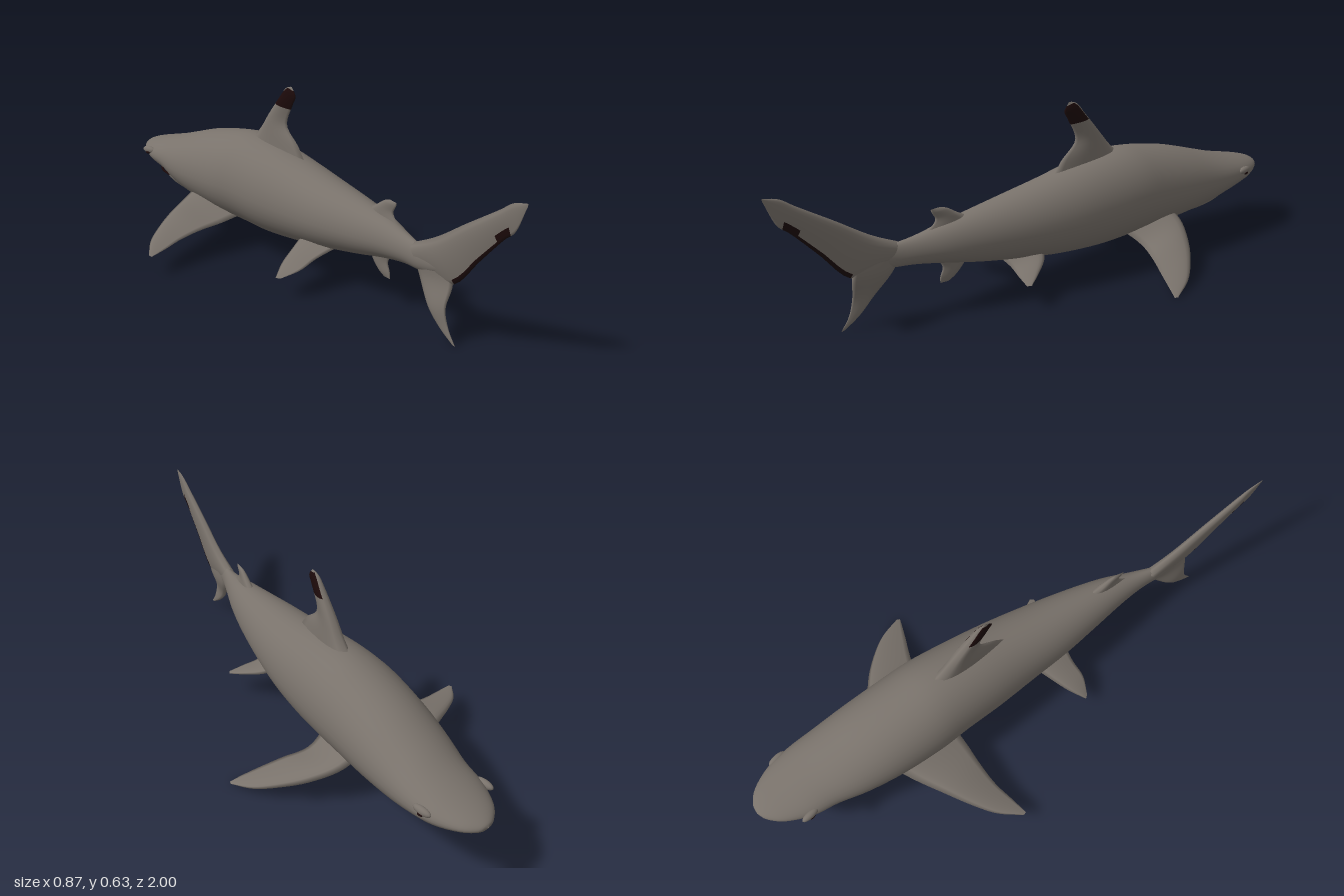
import * as THREE from 'three';

const skin = new THREE.MeshStandardMaterial({ color: 0x79726b, side: THREE.DoubleSide });
skin.name = 'greySkin';
const dark = new THREE.MeshStandardMaterial({ color: 0x1c0a0a, side: THREE.DoubleSide });
dark.name = 'darkMarking';

const V = (x, y, z) => new THREE.Vector3(x, y, z);

// Smooth skin over closed rings of points; quads picked by isDark get the dark material
function loft(name, rings, flip = false, isDark = () => false) {
  const n = rings[0].length;
  const plain = [], marked = [];
  for (let i = 0; i < rings.length - 1; i++) {
    for (let j = 0; j < n; j++) {
      const a = i * n + j, b = i * n + (j + 1) % n, c = b + n, d = a + n;
      const list = isDark((i + 0.5) / (rings.length - 1), j) ? marked : plain;
      list.push(...(flip ? [a, c, b, a, d, c] : [a, b, c, a, c, d]));
    }
  }
  const geo = new THREE.BufferGeometry().setFromPoints(rings.flat());
  geo.setIndex([...plain, ...marked]);
  geo.addGroup(0, plain.length, 0);
  if (marked.length) geo.addGroup(plain.length, marked.length, 1);
  geo.computeVertexNormals();
  const mesh = new THREE.Mesh(geo, [skin, dark]);
  mesh.name = name;
  return mesh;
}

// Fin from [lead, trail] sections, root to tip, with a lens-like profile.
// mark(v, u, upper): v runs root to tip, u runs leading to trailing edge
function fin(name, sections, normal, thick, mark = () => false) {
  const half = 10, steps = 24;
  const lead = new THREE.CatmullRomCurve3(sections.map((s) => V(...s[0])));
  const trail = new THREE.CatmullRomCurve3(sections.map((s) => V(...s[1])));
  const nrm = V(...normal).normalize();
  const rings = [];
  for (let i = 0; i <= steps; i++) {
    const v = i / steps, a = lead.getPoint(v), b = trail.getPoint(v), ring = [];
    for (let j = 0; j < 2 * half; j++) {
      const u = (j <= half ? j : 2 * half - j) / half;
      const t = thick * (1 - v) ** 0.8 * 2.6 * Math.sqrt(u) * (1 - u);
      ring.push(a.clone().lerp(b, u).addScaledVector(nrm, j <= half ? t : -t));
    }
    rings.push(ring);
  }
  const chord = rings[0][half].clone().sub(rings[0][0]);
  const span = rings[steps][0].clone().sub(rings[0][0]);
  const flip = chord.cross(span).dot(nrm) < 0;
  return loft(name, rings, flip, (v, j) =>
    mark(v, (j < half ? j + 0.5 : 2 * half - j - 0.5) / half, j < half));
}

// Body stations: z, centre x, half width, top y, bottom y
const stations = [
  [-1.0, 0.17, 0.002, 0.247, 0.243], [-0.99, 0.169, 0.035, 0.258, 0.23],
  [-0.95, 0.163, 0.078, 0.272, 0.217], [-0.87, 0.152, 0.116, 0.292, 0.19],
  [-0.78, 0.14, 0.131, 0.315, 0.165], [-0.68, 0.115, 0.146, 0.346, 0.135],
  [-0.55, 0.087, 0.157, 0.385, 0.112], [-0.4, 0.06, 0.16, 0.415, 0.1],
  [-0.29, 0.045, 0.156, 0.425, 0.095], [-0.15, 0.02, 0.147, 0.41, 0.09],
  [0, -0.007, 0.132, 0.382, 0.1], [0.15, -0.04, 0.113, 0.355, 0.12],
  [0.3, -0.073, 0.086, 0.33, 0.145], [0.42, -0.103, 0.06, 0.308, 0.17],
  [0.52, -0.136, 0.035, 0.283, 0.187], [0.6, -0.166, 0.02, 0.27, 0.192],
  [0.68, -0.186, 0.01, 0.26, 0.21], [0.75, -0.203, 0.002, 0.25, 0.24],
];

function makeBody() {
  const plan = new THREE.CatmullRomCurve3(stations.map((s) => V(s[0], s[1], s[2])), false, 'catmullrom', 0.5);
  const side = new THREE.CatmullRomCurve3(stations.map((s) => V(s[0], s[3], s[4])), false, 'catmullrom', 0.5);
  const rings = [];
  for (let i = 0; i <= 68; i++) {
    const p = plan.getPoint(i / 68), q = side.getPoint(i / 68), ring = [];
    const mid = q.z + (q.y - q.z) * 0.46;
    for (let j = 0; j < 36; j++) {
      const t = (j / 36) * Math.PI * 2, s = Math.sin(t);
      ring.push(V(p.y + p.z * Math.cos(t), mid + s * (s > 0 ? q.y - mid : mid - q.z), p.x));
    }
    rings.push(ring);
  }
  return loft('body', rings);
}

const tailX = (z) => -0.163 - 0.21 * (z - 0.585);
const tail = (z, y) => [tailX(z) - (y < 0.12 ? 0.02 : 0), y, z];
const along = (z, y) => [0.045 - 0.18 * (z + 0.29), y, z]; // on the front dorsal line
const rear = (z, y) => [-0.103 - 0.26 * (z - 0.42), y, z]; // on the rear body line

export function createModel() {
  const shark = new THREE.Group();
  shark.name = 'shark';
  shark.add(makeBody());

  // Lower jaw and the dark mouth line above it
  const head = new THREE.Group();
  head.name = 'head';
  head.position.set(0.115, 0, -0.67);
  head.rotation.y = -0.17;
  const jaw = new THREE.Mesh(new THREE.SphereGeometry(1, 28, 18), skin);
  jaw.name = 'lowerJaw';
  jaw.scale.set(0.1, 0.045, 0.19);
  jaw.position.y = 0.167;
  jaw.rotation.x = 0.1;
  const lip = new THREE.CatmullRomCurve3([V(-0.108, 0.183, -0.05), V(-0.092, 0.184, -0.12),
    V(-0.055, 0.187, -0.175), V(0, 0.188, -0.195), V(0.055, 0.187, -0.175),
    V(0.092, 0.184, -0.12), V(0.108, 0.183, -0.05)]);
  const mouth = new THREE.Mesh(new THREE.TubeGeometry(lip, 30, 0.004, 6), dark);
  mouth.name = 'mouthLine';
  head.add(jaw, mouth);
  shark.add(head);

  // Eyes under low brows
  for (const [x, z, s] of [[0.269, -0.83, 1], [0.037, -0.875, -1]]) {
    const brow = new THREE.Mesh(new THREE.SphereGeometry(1, 16, 10), skin);
    brow.name = 'brow';
    brow.scale.set(0.013, 0.014, 0.035);
    brow.position.set(x - s * 0.004, 0.252, z);
    const eye = new THREE.Mesh(new THREE.SphereGeometry(1, 14, 10), dark);
    eye.name = 'eye';
    eye.scale.set(0.005, 0.006, 0.011);
    eye.position.set(x + s * 0.005, 0.243, z);
    shark.add(brow, eye);
  }

  // Dorsal fins
  shark.add(fin('dorsalFin', [
    [along(-0.33, 0.39), along(0.0, 0.36)], [along(-0.27, 0.44), along(-0.045, 0.425)],
    [along(-0.21, 0.51), along(-0.108, 0.49)], [along(-0.15, 0.58), along(-0.075, 0.57)],
    [along(-0.115, 0.62), along(-0.06, 0.6)], [along(-0.09, 0.63), along(-0.08, 0.63)],
  ], [1, 0, 0.18], 0.03, (v, u) => v > 0.55 && v < 0.9 && u > 0.1));
  shark.add(fin('secondDorsalFin', [
    [rear(0.32, 0.31), rear(0.5, 0.275)], [rear(0.37, 0.335), rear(0.45, 0.325)],
    [rear(0.405, 0.357), rear(0.462, 0.352)], [rear(0.43, 0.366), rear(0.465, 0.363)],
  ], [1, 0, 0.26], 0.016));
  shark.add(fin('analFin', [
    [rear(0.33, 0.18), rear(0.46, 0.2)], [rear(0.36, 0.14), rear(0.43, 0.155)],
    [rear(0.385, 0.115), rear(0.44, 0.12)], [rear(0.41, 0.1), rear(0.44, 0.1)],
  ], [1, 0, 0.26], 0.014));

  // Pectoral fins, dark beneath the tips
  const under = (v, u, upper) => !upper && v > 0.8;
  shark.add(fin('leftPectoralFin', [
    [[0.12, 0.2, -0.48], [0.08, 0.15, -0.25]], [[0.22, 0.148, -0.465], [0.19, 0.1, -0.265]],
    [[0.305, 0.1, -0.4], [0.275, 0.075, -0.225]], [[0.37, 0.062, -0.32], [0.345, 0.045, -0.185]],
    [[0.415, 0.03, -0.24], [0.4, 0.02, -0.155]], [[0.437, 0.005, -0.15], [0.43, 0.004, -0.14]],
  ], [0.5, 0.85, 0], 0.024, under));
  shark.add(fin('rightPectoralFin', [
    [[0, 0.17, -0.57], [0, 0.13, -0.3]], [[-0.09, 0.15, -0.54], [-0.12, 0.115, -0.315]],
    [[-0.2, 0.135, -0.495], [-0.2, 0.108, -0.33]], [[-0.29, 0.115, -0.455], [-0.29, 0.095, -0.34]],
    [[-0.37, 0.095, -0.41], [-0.37, 0.082, -0.335]], [[-0.437, 0.076, -0.345], [-0.435, 0.074, -0.332]],
  ], [-0.15, 1, 0], 0.022, under));

  // Pelvic fins
  shark.add(fin('leftPelvicFin', [
    [[0, 0.16, 0.06], [-0.05, 0.14, 0.22]], [[0.06, 0.13, 0.11], [0, 0.115, 0.215]],
    [[0.095, 0.105, 0.18], [0.055, 0.1, 0.235]], [[0.118, 0.088, 0.24], [0.108, 0.087, 0.253]],
  ], [0.4, 0.9, 0], 0.014));
  shark.add(fin('rightPelvicFin', [
    [[-0.07, 0.15, 0.04], [-0.09, 0.14, 0.2]], [[-0.15, 0.125, 0.062], [-0.165, 0.115, 0.175]],
    [[-0.23, 0.1, 0.085], [-0.23, 0.093, 0.165]], [[-0.295, 0.074, 0.115], [-0.287, 0.073, 0.13]],
  ], [-0.35, 0.93, 0], 0.014));

  // Tail lobes
  shark.add(fin('upperTailLobe', [
    [tail(0.56, 0.27), tail(0.62, 0.19)], [tail(0.66, 0.318), tail(0.735, 0.19)],
    [tail(0.78, 0.395), tail(0.84, 0.3)], [tail(0.9, 0.47), tail(0.925, 0.39)],
    [tail(0.95, 0.503), tail(0.96, 0.42)], [tail(1, 0.515), tail(0.998, 0.505)],
  ], [1, 0, 0.21], 0.02, (v, u) => v > 0.2 && v < 0.72 && u > (v > 0.55 ? 0.7 : 0.88)));
  shark.add(fin('lowerTailLobe', [
    [tail(0.56, 0.24), tail(0.72, 0.25)], [tail(0.59, 0.18), tail(0.735, 0.188)],
    [tail(0.65, 0.1), tail(0.725, 0.115)], [tail(0.7, 0.05), tail(0.74, 0.055)],
    [tail(0.755, 0.012), tail(0.77, 0.008)],
  ], [1, 0, 0.21], 0.016));

  return shark;
}
